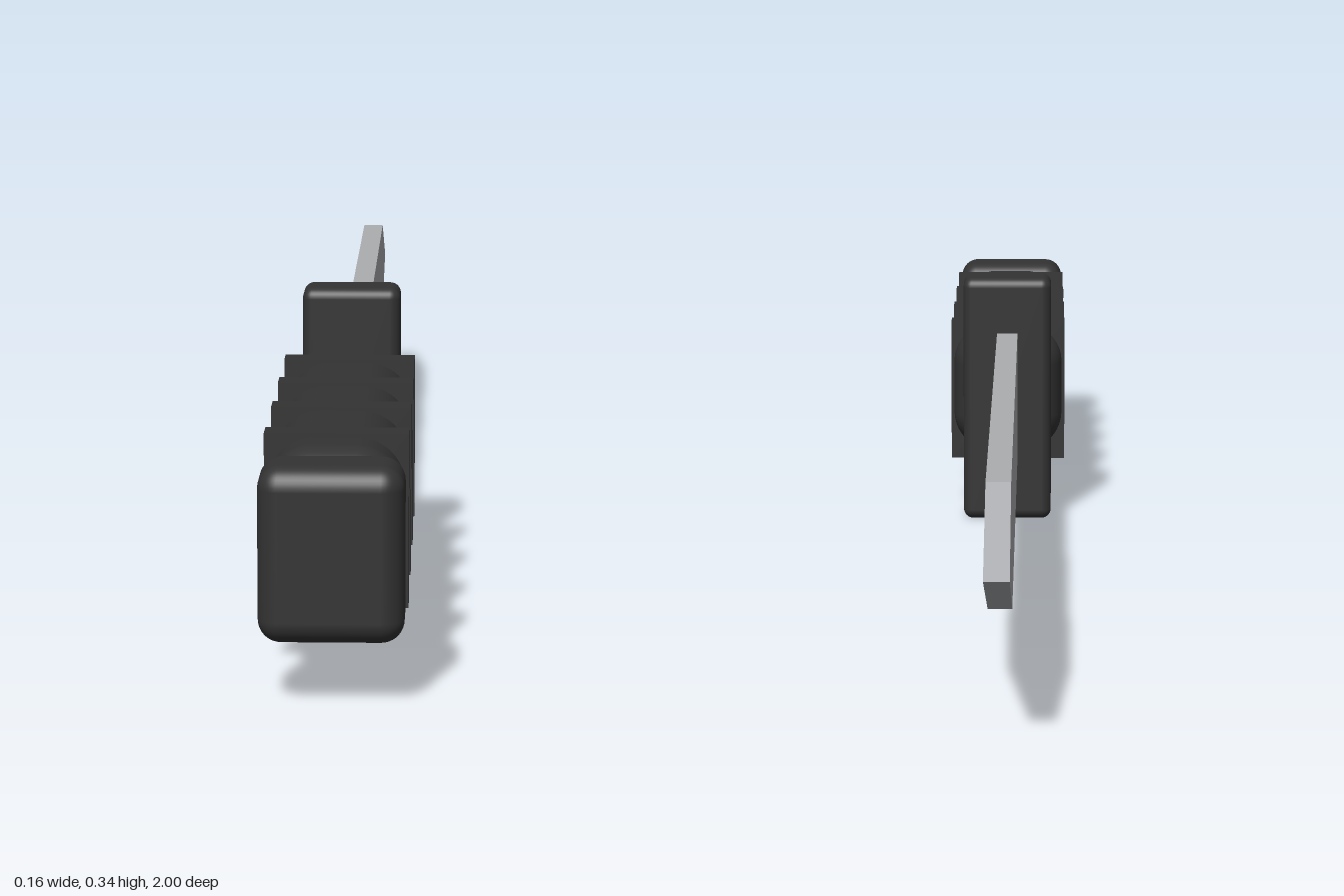
import * as THREE from 'three';
import { RoundedBoxGeometry } from 'three/addons/geometries/RoundedBoxGeometry.js';

export function createModel() {
  const model = new THREE.Group();
  model.name = 'knife';

  const blackRubber = new THREE.MeshStandardMaterial({ color: 0x333333 });
  blackRubber.name = 'black rubber';
  const steel = new THREE.MeshStandardMaterial({ color: 0xacadb0 });
  steel.name = 'steel';

  const add = (name, geometry, material, y = 0, z = 0) => {
    const mesh = new THREE.Mesh(geometry, material);
    mesh.name = name;
    mesh.position.set(0, y, z);
    model.add(mesh);
    return mesh;
  };

  // Blade: side outline drawn as (-z, y), extruded across x
  const outline = new THREE.Shape([
    [-0.24, 0.083], [0.67, 0.083], [1, 0.19], [0.82, 0.26], [-0.24, 0.26],
  ].map(([forward, y]) => new THREE.Vector2(forward, y)));
  const bladeWidth = 0.028;
  const bladeGeometry = new THREE.ExtrudeGeometry(outline, { depth: bladeWidth, bevelEnabled: false });
  bladeGeometry.translate(0, 0, -bladeWidth / 2);
  bladeGeometry.rotateY(Math.PI / 2);
  add('blade', bladeGeometry, steel);

  // Cross guard
  add('guard', new RoundedBoxGeometry(0.12, 0.335, 0.07, 4, 0.013), blackRubber, 0.1675, 0.25);

  // Grip with heavily rounded edges
  add('grip', new RoundedBoxGeometry(0.15, 0.176, 0.635, 6, 0.052), blackRubber, 0.168, 0.588);

  // Square-cornered rings around the grip
  for (let i = 0; i < 4; i++) {
    add('gripRing' + (i + 1), new THREE.BoxGeometry(0.158, 0.194, 0.036), blackRubber,
      0.163, 0.34 + i * 0.153);
  }

  // Pommel
  add('pommel', new RoundedBoxGeometry(0.155, 0.19, 0.095, 5, 0.025), blackRubber, 0.163, 0.9525);

  return model;
}
